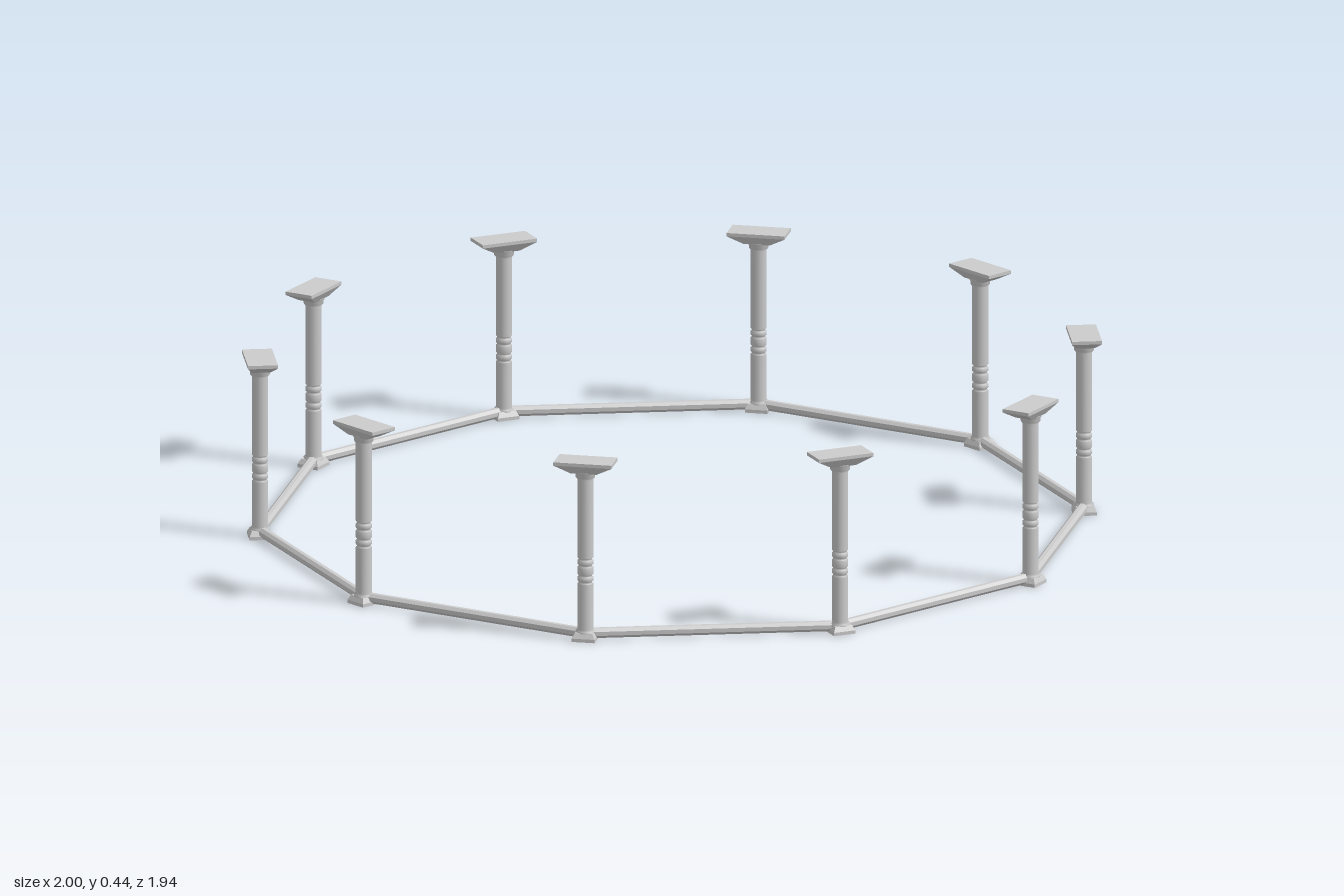
import * as THREE from 'three';

const COUNT = 10, RADIUS = 0.963;
const material = new THREE.MeshStandardMaterial({ color: 0xcccccc });
const flatMaterial = new THREE.MeshStandardMaterial({ color: 0xcccccc, flatShading: true });

function add(parent, name, geometry, mat = flatMaterial) {
  const mesh = new THREE.Mesh(geometry, mat);
  mesh.name = name;
  parent.add(mesh);
  return mesh;
}

// Box whose bottom and top rectangles differ, spanning y0 to y1
function taperedBox(bottom, top, y0, y1) {
  const g = new THREE.BoxGeometry(1, 1, 1);
  const p = g.attributes.position;
  for (let i = 0; i < p.count; i++) {
    const up = p.getY(i) > 0;
    const [w, d] = up ? top : bottom;
    p.setXYZ(i, p.getX(i) * w, up ? y1 : y0, p.getZ(i) * d);
  }
  g.computeVertexNormals();
  return g;
}

// Shaft outline with four shallow grooves and a flared collar
function shaftGeometry() {
  const r = 0.019;
  const pts = [[0.023, 0.018], [0.023, 0.023], [r, 0.027]];
  for (const y of [0.14, 0.156, 0.18, 0.196]) {
    pts.push([r, y - 0.004], [r - 0.003, y - 0.002], [r - 0.003, y + 0.002], [r, y + 0.004]);
  }
  pts.push([r, 0.39], [0.023, 0.395], [0.023, 0.402], [0.026, 0.406], [0.026, 0.41]);
  return new THREE.LatheGeometry(pts.map(([x, y]) => new THREE.Vector2(x, y)), 16);
}

export function createModel() {
  const model = new THREE.Group();
  model.name = 'postRing';

  const shaft = shaftGeometry();
  const basePlate = taperedBox([0.054, 0.054], [0.054, 0.054], 0, 0.008);
  const baseSlope = taperedBox([0.054, 0.054], [0.042, 0.042], 0.008, 0.02);
  const capFlare = taperedBox([0.044, 0.062], [0.07, 0.138], 0.407, 0.427);
  const capSlab = taperedBox([0.07, 0.138], [0.07, 0.138], 0.427, 0.435);

  // Eight-sided rail between neighbouring posts, lying along z with a flat top
  const length = 2 * RADIUS * Math.sin(Math.PI / COUNT);
  const rail = new THREE.CylinderGeometry(0.0125, 0.0125, length, 8);
  rail.rotateY(Math.PI / 8).rotateX(Math.PI / 2);

  for (let i = 0; i < COUNT; i++) {
    const angle = (i / COUNT) * Math.PI * 2;

    // Post, its local x pointing outwards
    const post = new THREE.Group();
    post.name = 'post';
    post.position.set(Math.cos(angle) * RADIUS, 0, Math.sin(angle) * RADIUS);
    post.rotation.y = -angle;
    add(post, 'basePlate', basePlate);
    add(post, 'baseSlope', baseSlope);
    add(post, 'shaft', shaft, material);
    add(post, 'capFlare', capFlare);
    add(post, 'capSlab', capSlab);
    model.add(post);

    // Floor rail to the next post
    const mid = angle + Math.PI / COUNT;
    const apothem = RADIUS * Math.cos(Math.PI / COUNT);
    const bar = add(model, 'floorRail', rail);
    bar.position.set(Math.cos(mid) * apothem, 0.0155, Math.sin(mid) * apothem);
    bar.rotation.y = -mid;
  }
  return model;
}
